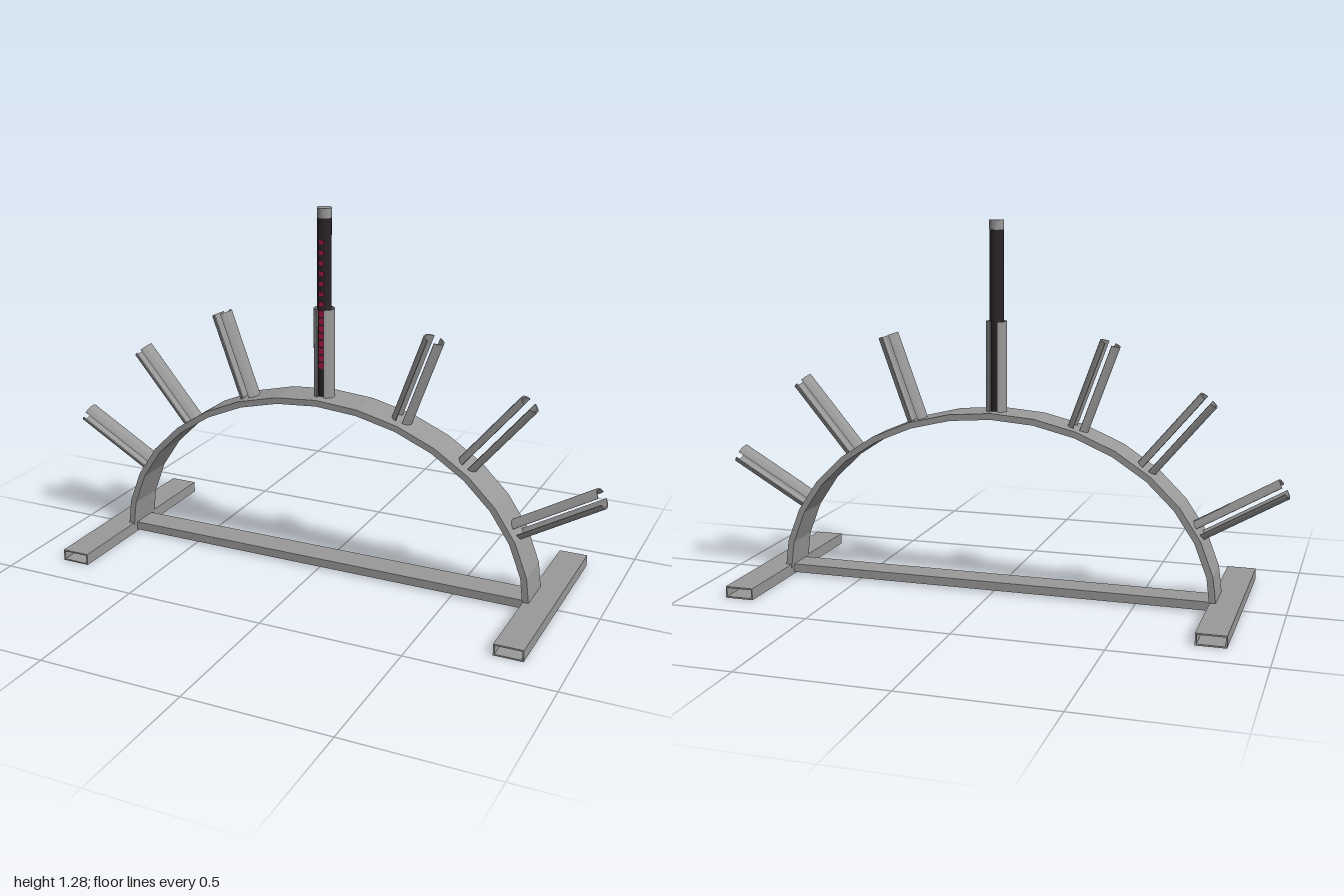
import * as THREE from 'three';
import { toCreasedNormals } from 'three/addons/utils/BufferGeometryUtils.js';

const mat = (name, color, extra = {}) => {
  const m = new THREE.MeshStandardMaterial({ color, ...extra });
  m.name = name;
  return m;
};

export function createModel() {
  const model = new THREE.Group();
  model.name = 'archStand';
  const steel = mat('steelGrey', 0x999999);
  const dark = mat('gripBlack', 0x2b2426);
  const red = mat('markingRed', 0xa81840);

  const add = (parent, name, geometry, material, x = 0, y = 0, z = 0) => {
    const mesh = new THREE.Mesh(geometry, material);
    mesh.name = name;
    mesh.position.set(x, y, z);
    parent.add(mesh);
    return mesh;
  };

  // Faceted half-elliptical band
  const SEG = 16;
  const ellipse = (rx, ry) => Array.from({ length: SEG + 1 }, (_, i) => {
    const t = (i / SEG) * Math.PI;
    return new THREE.Vector2(rx * Math.cos(t), 0.006 + (ry - 0.006) * Math.sin(t));
  });
  const archShape = new THREE.Shape([...ellipse(0.78, 0.635), ...ellipse(0.758, 0.613).reverse()]);
  const archGeo = new THREE.ExtrudeGeometry(archShape, { depth: 0.14, bevelEnabled: false });
  archGeo.translate(0, 0, -0.07);
  add(model, 'arch', archGeo, steel);

  // Cross bar between the feet
  add(model, 'crossBar', new THREE.BoxGeometry(1.53, 0.03, 0.1), steel, 0, 0.022, 0);

  // Hollow rectangular feet
  const rect = (Type, w, h) => new Type([
    new THREE.Vector2(-w / 2, -h / 2), new THREE.Vector2(w / 2, -h / 2),
    new THREE.Vector2(w / 2, h / 2), new THREE.Vector2(-w / 2, h / 2),
  ]);
  const footShape = rect(THREE.Shape, 0.1, 0.04);
  footShape.holes.push(rect(THREE.Path, 0.09, 0.03));
  const footGeo = new THREE.ExtrudeGeometry(footShape, { depth: 0.752, bevelEnabled: false });
  footGeo.translate(0, 0, -0.376);
  for (const s of [-1, 1]) add(model, s > 0 ? 'leftFoot' : 'rightFoot', footGeo, steel, s * 0.806, 0.02, 0);

  // Holder tube: two curved half shells with open slots at front and back
  const R = 0.036, r = 0.031, half = THREE.MathUtils.degToRad(70);
  const shell = new THREE.Shape();
  shell.absarc(0, 0, R, -half, half, false);
  shell.absarc(0, 0, r, half, -half, true);
  const raw = new THREE.ExtrudeGeometry(shell, { depth: 0.318, bevelEnabled: false, curveSegments: 14 });
  raw.rotateX(-Math.PI / 2);
  raw.translate(0, -0.008, 0);
  const shellGeo = toCreasedNormals(raw, 0.6);

  const addHolder = (x, y, degrees) => {
    const holder = new THREE.Group();
    holder.name = 'holderTube';
    holder.position.set(x, y, 0);
    holder.rotation.z = THREE.MathUtils.degToRad(degrees - 90);
    add(holder, 'holderShell', shellGeo, steel);
    add(holder, 'holderShell', shellGeo, steel).rotation.y = Math.PI;
    model.add(holder);
  };
  addHolder(0, 0.632, 90);
  for (const [x, y, a] of [[0.711, 0.27, 30], [0.527, 0.468, 50], [0.289, 0.589, 70]]) {
    addHolder(x, y, a);
    addHolder(-x, y, 180 - a);
  }

  // Rod standing in the middle holder, with its cap
  const rod = new THREE.Group();
  rod.name = 'rod';
  model.add(rod);
  add(rod, 'rodBody', new THREE.CylinderGeometry(0.0245, 0.0245, 0.62, 24), dark, 0, 0.94, 0);
  add(rod, 'rodCap', new THREE.CylinderGeometry(0.025, 0.025, 0.033, 24), steel, 0, 1.2665, 0);

  // Abstract red dashes down the front of the rod
  for (let i = 0; i < 15; i++) {
    const dense = i < 8;
    const y = dense ? 0.745 + i * 0.026 : 0.96 + (i - 8) * 0.035;
    const h = dense ? 0.02 : 0.013;
    add(rod, 'rodMark', new THREE.BoxGeometry(0.018, h, 0.004), red, 0, y, 0.0235);
  }
  return model;
}
